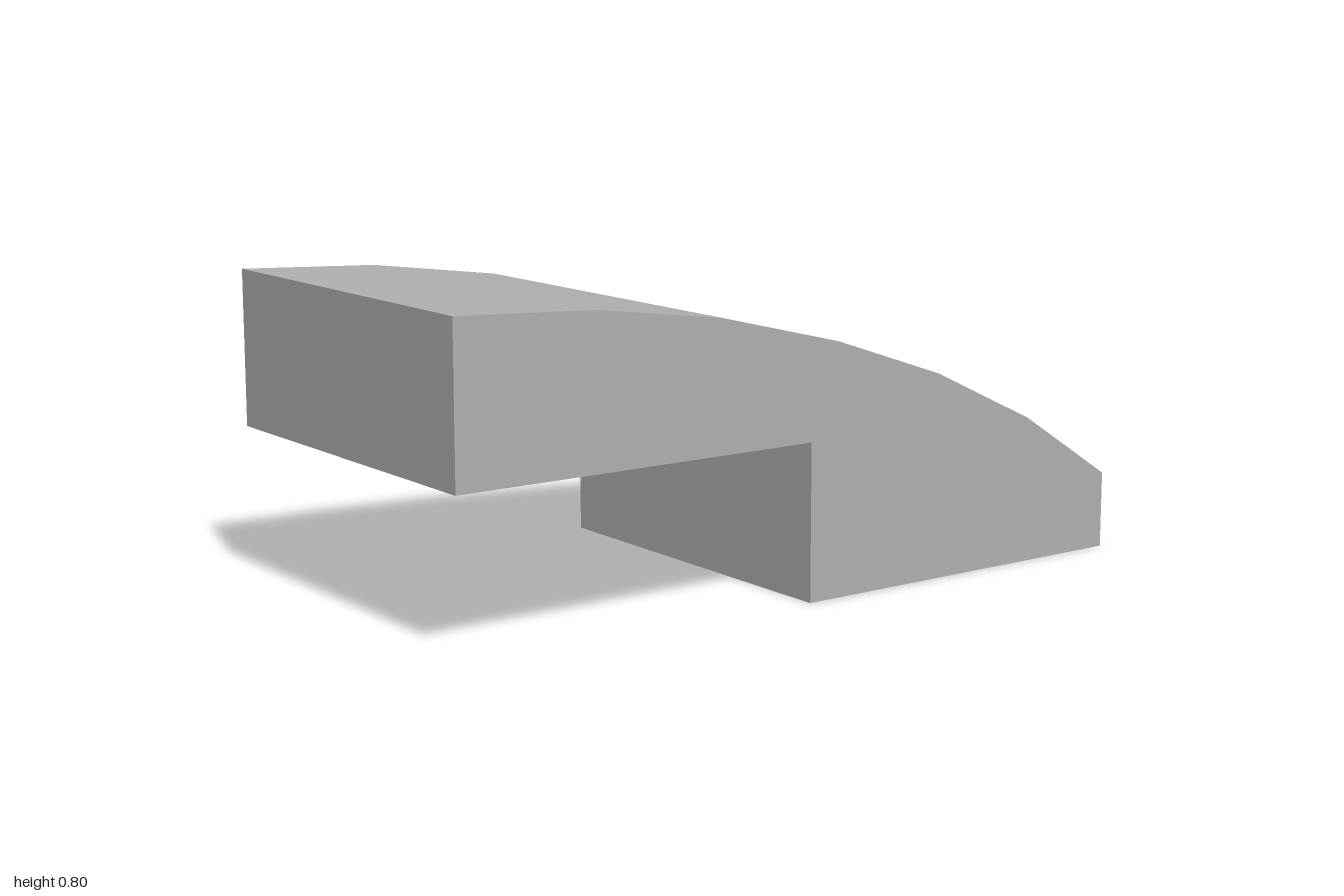
import * as THREE from 'three';
import { toCreasedNormals } from 'three/addons/utils/BufferGeometryUtils.js';

const HALF = 0.5;   // half depth of the block
const INNER = 0.3;  // half depth of the pockets

// Curved top, from the low right end to the high left end
const arc = [[1, 0.2], [0.72, 0.38], [0.41, 0.527], [0.08, 0.64], [-0.27, 0.727], [-0.63, 0.777], [-1, 0.795]];

// Open band swept along z; its front lies to the right of the path
function band(points, halfDepth) {
  const pos = [];
  for (let i = 0; i < points.length - 1; i++) {
    const [a, b] = [points[i], points[i + 1]];
    const A = [...a, -halfDepth], B = [...b, -halfDepth], C = [...b, halfDepth], D = [...a, halfDepth];
    pos.push(...A, ...B, ...C, ...A, ...C, ...D);
  }
  const geo = new THREE.BufferGeometry();
  geo.setAttribute('position', new THREE.Float32BufferAttribute(pos, 3));
  geo.computeVertexNormals();
  return toCreasedNormals(geo, 0.4);
}

// Flat face in the xy plane, looking along +z or -z
function face(points, z, dir) {
  const shape = new THREE.Shape(points.map(([x, y]) => new THREE.Vector2(x * dir, y)));
  const geo = new THREE.ShapeGeometry(shape);
  if (dir < 0) geo.rotateY(Math.PI);
  return geo.translate(0, 0, z);
}

// Rectangle in plan
function rect(Type, x0, x1, h) {
  return new Type([[x0, -h], [x1, -h], [x1, h], [x0, h]].map(([x, y]) => new THREE.Vector2(x, y)));
}

export function createModel() {
  const group = new THREE.Group();
  const grey = new THREE.MeshStandardMaterial({ color: 0xb2b2b2 });
  grey.name = 'light grey';
  const add = (name, geo) => {
    const mesh = new THREE.Mesh(geo, grey);
    mesh.name = name;
    group.add(mesh);
  };

  // Outer shell
  const outline = [[0, 0], [1, 0], ...arc, [-1, 0.4], [0, 0.4]];
  add('curvedTopAndEnds', band([[1, 0], ...arc, [-1, 0.4]], HALF));
  add('stepRiser', band([[0, 0.4], [0, 0]], HALF));
  add('frontSide', face(outline, HALF, 1));
  add('backSide', face(outline, -HALF, -1));

  // Undersides, each with a hollow pocket
  const pockets = [
    { name: 'lower', x: 0, y: 0, path: [[0.2, 0], [0.2, 0.35], [0.5, 0.2], [0.8, 0.1], [0.8, 0]] },
    { name: 'upper', x: -1, y: 0.4, path: [[-0.8, 0.4], [-0.8, 0.6], [-0.2, 0.6], [-0.2, 0.4]] },
  ];
  for (const { name, x, y, path } of pockets) {
    const rim = rect(THREE.Shape, x, x + 1, HALF);
    rim.holes.push(rect(THREE.Path, x + 0.2, x + 0.8, INNER));
    add(name + 'Rim', new THREE.ShapeGeometry(rim).rotateX(Math.PI / 2).translate(0, y, 0));
    add(name + 'PocketCeiling', band(path, INNER));
    add(name + 'PocketFrontWall', face(path, INNER, -1));
    add(name + 'PocketBackWall', face(path, -INNER, 1));
  }
  return group;
}
